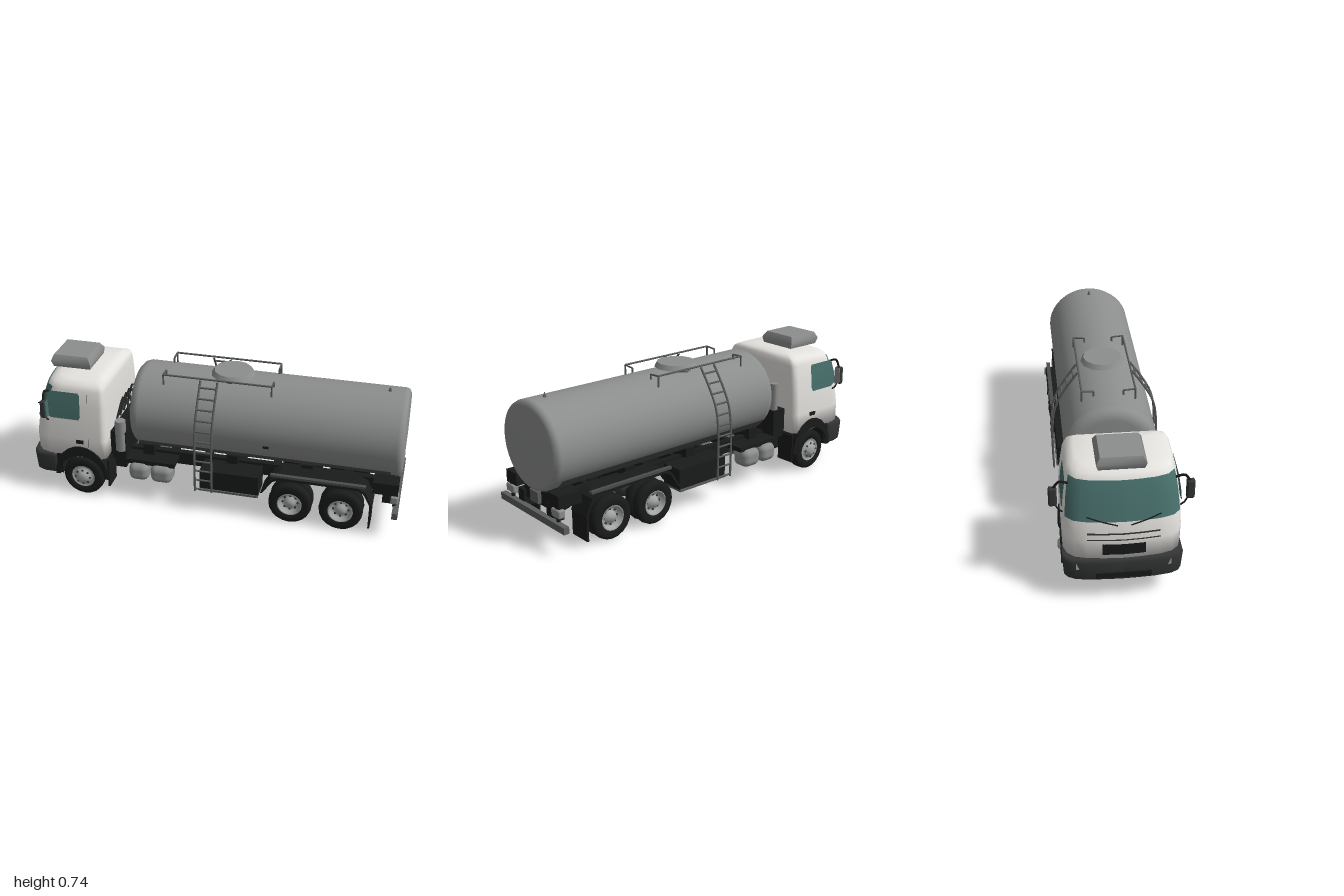
import * as THREE from 'three';
import { RoundedBoxGeometry } from 'three/addons/geometries/RoundedBoxGeometry.js';

const mat = (name, color, side = THREE.FrontSide) => {
  const m = new THREE.MeshStandardMaterial({ color, side });
  m.name = name;
  return m;
};
const V = (x, y, z) => new THREE.Vector3(x, y, z);

export function createModel() {
  const root = new THREE.Group();
  root.name = 'tankerTruck';
  const D = THREE.DoubleSide;
  const white = mat('cabWhite', 0xe6e4e0, D), grey = mat('tankGrey', 0x8c8e8d), shade = mat('tankUnderside', 0x4a4c4b, D);
  const black = mat('black', 0x1a1b1b, D), dark = mat('darkGrey', 0x353737, D), glass = mat('glass', 0x48706c, D);
  const metal = mat('lightMetal', 0xa3a6a4), steel = mat('railSteel', 0x5b5e5d);

  const add = (name, geo, m, x = 0, y = 0, z = 0) => {
    const mesh = new THREE.Mesh(geo, m);
    mesh.name = name;
    mesh.position.set(x, y, z);
    root.add(mesh);
    return mesh;
  };
  // Box given by its extents
  const box = (name, m, x0, x1, y0, y1, z0, z1) =>
    add(name, new THREE.BoxGeometry(x1 - x0, y1 - y0, Math.abs(z1 - z0)), m, (x0 + x1) / 2, (y0 + y1) / 2, (z0 + z1) / 2);
  const rod = (name, m, a, b, r) => {
    const mesh = add(name, new THREE.CylinderGeometry(r, r, a.distanceTo(b), 6), m);
    mesh.position.copy(a).add(b).multiplyScalar(0.5);
    mesh.quaternion.setFromUnitVectors(V(0, 1, 0), b.clone().sub(a).normalize());
    return mesh;
  };
  const tube = (name, m, pts, r) => add(name, new THREE.TubeGeometry(new THREE.CatmullRomCurve3(pts), 16, r, 6), m);
  // Surface through rows of points
  const skin = (rows) => {
    const n = rows[0].length, pos = [], idx = [];
    rows.forEach((row) => row.forEach((p) => pos.push(p.x, p.y, p.z)));
    for (let i = 0; i < rows.length - 1; i++)
      for (let j = 0; j < n - 1; j++) {
        const a = i * n + j;
        idx.push(a, a + 1, a + n, a + 1, a + n + 1, a + n);
      }
    const g = new THREE.BufferGeometry();
    g.setAttribute('position', new THREE.Float32BufferAttribute(pos, 3));
    g.setIndex(idx);
    g.computeVertexNormals();
    return g;
  };
  const lerpTable = (table, t) => {
    let i = 0;
    while (i < table.length - 2 && t > table[i + 1][0]) i++;
    const a = table[i], b = table[i + 1], k = THREE.MathUtils.clamp((t - a[0]) / (b[0] - a[0]), 0, 1);
    return a.map((v, j) => v + (b[j] - v) * k);
  };

  // Cab: height, front x, back x, half width
  const cabRows = [[0.245, -0.985, -0.56, 0.276], [0.35, -0.985, -0.56, 0.278], [0.45, -0.968, -0.558, 0.275], [0.55, -0.938, -0.558, 0.266],
    [0.63, -0.91, -0.56, 0.254], [0.66, -0.89, -0.565, 0.238], [0.677, -0.85, -0.585, 0.205], [0.683, -0.78, -0.63, 0.12]];
  // Front plan curve: side fraction, setback
  const nose = [[0, 0], [0.3, 0.004], [0.6, 0.013], [0.82, 0.03], [0.94, 0.06], [1, 0.11]];
  const ring = ([y, xf, xb, hw]) => {
    const half = nose.map(([v, d]) => V(xf + d * Math.min(1, (xb - xf) / 0.3), y, v * hw));
    half.push(V(xb - 0.03, y, hw), V(xb - 0.008, y, hw * 0.97), V(xb, y, hw * 0.9), V(xb, y, 0));
    const mirror = half.slice(0, -1).reverse().map((p) => V(p.x, y, -p.z));
    return half.concat(mirror);
  };
  const flat = (row) => row.map((p) => V(-0.75, p.y, 0));
  const cabRings = cabRows.map(ring);
  add('cab', skin([flat(cabRings[0]), ...cabRings, flat(cabRings[cabRings.length - 1])]), white);

  // Thin panels following the cab nose
  const nosePanel = (name, m, y0, y1, v0, v1, off = 0.005) => {
    const rows = [];
    for (let i = 0; i <= 6; i++) {
      const [y, xf, , hw] = lerpTable(cabRows, y0 + ((y1 - y0) * i) / 6), row = [];
      for (let j = 0; j <= 16; j++) {
        const v = v0 + ((v1 - v0) * j) / 16, a = Math.abs(v);
        row.push(V(xf + lerpTable(nose, a)[1] - off, y, v * hw + Math.sign(v) * off * a * a));
      }
      rows.push(row);
    }
    add(name, skin(rows), m);
  };
  nosePanel('windshield', glass, 0.45, 0.637, -0.95, 0.95);
  nosePanel('grille', black, 0.275, 0.335, -0.36, 0.36);
  nosePanel('upperGrilleSlot', dark, 0.385, 0.393, -0.6, 0.6);
  nosePanel('lowerGrilleSlot', dark, 0.355, 0.361, -0.6, 0.6);

  // Bumper
  const bumperRings = [[0.115, -0.975, -0.83, 0.255], [0.135, -0.995, -0.83, 0.276], [0.23, -1, -0.83, 0.283], [0.25, -0.988, -0.83, 0.278]].map(ring);
  add('bumper', skin([flat(bumperRings[0]), ...bumperRings, flat(bumperRings[3])]), dark);
  box('bumperIntake', black, -1, -0.99, 0.145, 0.175, -0.13, 0.13);

  // Roof air unit, narrower at the top
  const airGeo = new THREE.BoxGeometry(0.21, 0.065, 0.23, 1, 2, 1), ap = airGeo.attributes.position;
  for (let i = 0; i < ap.count; i++) {
    const y = ap.getY(i), k = y > 0.01 ? 0.84 : y < -0.01 ? 0.92 : 1;
    ap.setXYZ(i, ap.getX(i) * (k + 0.05) - y * 0.1, y, ap.getZ(i) * k);
  }
  airGeo.computeVertexNormals();
  add('roofAirUnit', airGeo, grey, -0.79, 0.715, -0.005);

  // Wheels turned around z; s is the outward side
  const wheel = (x, z, s, front) => {
    const g = new THREE.Group();
    g.name = front ? 'frontWheel' : 'rearWheel';
    const lathe = (name, pts, m) => {
      const mesh = new THREE.Mesh(new THREE.LatheGeometry(pts.map(([r, h]) => new THREE.Vector2(r, h)), 20), m);
      mesh.name = name;
      g.add(mesh);
    };
    const tire = (c, w) => lathe('tire', [[0.05, c - w], [0.098, c - w], [0.112, c - w * 0.7], [0.115, c], [0.112, c + w * 0.7], [0.098, c + w], [0.066, c + w * 0.95], [0.064, c + w * 0.6]], black);
    tire(0, front ? 0.038 : 0.028);
    if (!front) tire(-0.06, 0.028);
    lathe('rim', front ? [[0.066, 0.034], [0.06, 0.036], [0.05, 0.026], [0.045, 0.04], [0.025, 0.05], [0.02, 0.058], [0, 0.058]]
      : [[0.066, 0.026], [0.058, 0.028], [0.05, 0.002], [0.03, 0], [0.026, 0.02], [0, 0.022]], metal);
    for (let i = 0; i < 8; i++) {
      const a = (i * Math.PI) / 4, hole = new THREE.Mesh(new THREE.CylinderGeometry(0.006, 0.006, 0.006, 6), dark);
      hole.name = 'rimHole';
      hole.position.set(Math.cos(a) * 0.04, front ? 0.042 : 0.003, Math.sin(a) * 0.04);
      g.add(hole);
    }
    g.rotation.x = (s * Math.PI) / 2;
    g.position.set(x, 0.118, z);
    root.add(g);
  };

  // Tank
  const tankPts = [[0, -0.45], [0.17, -0.445], [0.2, -0.436], [0.218, -0.42], [0.225, -0.4], [0.225, -0.39], [0.225, 0.95], [0.225, 0.96], [0.219, 0.976], [0.2, 0.986], [0, 0.99]];
  const tankGeo = new THREE.LatheGeometry(tankPts.map(([r, h]) => new THREE.Vector2(r, h)), 40);
  tankGeo.rotateZ(-Math.PI / 2).scale(1, 1, 1.045);
  add('tank', tankGeo, grey, 0, 0.48, 0);
  for (const s of [-1, 1]) {
    const rows = [-0.4, 0.93].map((x) => Array.from({ length: 9 }, (_, i) => {
      const a = 0.62 + (i / 8) * 0.8;
      return V(x, 0.48 - Math.sin(a) * 0.228, s * Math.cos(a) * 0.238);
    }));
    add('tankUnderside', skin(rows), shade);
  }
  // Manhole and tank fittings
  add('manholeCover', new THREE.CylinderGeometry(0.1, 0.115, 0.025, 12), grey, 0.07, 0.717, 0);
  add('manholeNeck', new THREE.CylinderGeometry(0.09, 0.09, 0.03, 12), steel, 0.07, 0.697, 0);
  add('tankVent', new THREE.ConeGeometry(0.012, 0.03, 6), steel, 0.88, 0.715, 0);
  box('tankPlate', black, 0.28, 0.31, 0.413, 0.426, 0.222, 0.231);

  // Chassis, engine and saddles
  for (const s of [-1, 1]) box('chassisRail', black, -0.9, 0.95, 0.18, 0.25, s * 0.08, s * 0.115);
  for (let i = 0; i < 8; i++) box('crossMember', black, -0.45 + i * 0.19, -0.42 + i * 0.19, 0.19, 0.24, -0.1, 0.1);
  box('engine', black, -0.84, -0.5, 0.12, 0.27, -0.13, 0.13);
  box('gearbox', steel, -0.5, -0.3, 0.13, 0.21, -0.06, 0.06);
  for (const x of [-0.36, 0.1, 0.5, 0.9]) box('tankSaddle', black, x - 0.03, x + 0.03, 0.23, 0.295, -0.15, 0.15);
  rod('driveShaft', steel, V(-0.3, 0.16, 0), V(0.7, 0.13, 0), 0.015);
  for (const x of [-0.7, 0.435, 0.7]) {
    rod('axle', black, V(x, 0.118, -0.22), V(x, 0.118, 0.22), 0.022);
    if (x > 0) add('differential', new THREE.SphereGeometry(0.055, 12, 8), dark, x, 0.125, 0);
  }

  // Gear behind the cab
  box('serviceRack', black, -0.555, -0.47, 0.22, 0.38, -0.2, 0.2);
  rod('airFilter', grey, V(-0.5, 0.27, 0.19), V(-0.5, 0.45, 0.19), 0.03);
  rod('exhaust', grey, V(-0.5, 0.25, -0.17), V(-0.5, 0.53, -0.17), 0.022);
  for (let i = 0; i < 4; i++)
    tube('airHose', dark, [V(-0.55, 0.4, -0.07 + i * 0.06), V(-0.5, 0.55, -0.05 + i * 0.05), V(-0.46, 0.38, -0.07 + i * 0.06)], 0.006);

  // Fender outlines
  const outline = (pts) => new THREE.Shape(pts.map(([x, y]) => new THREE.Vector2(x, y)));
  const slab = (name, shape, m, s, z0, z1) =>
    add(name, new THREE.ExtrudeGeometry(shape, { depth: z1 - z0, bevelEnabled: false }), m, 0, 0, s > 0 ? z0 : -z1);
  const arch = [];
  for (let i = 0; i <= 12; i++) arch.push([-0.7 + Math.cos((i / 12) * Math.PI) * 0.15, 0.125 + Math.sin((i / 12) * Math.PI) * 0.185]);
  for (let i = 12; i >= 0; i--) arch.push([-0.7 + Math.cos((i / 12) * Math.PI) * 0.125, 0.125 + Math.sin((i / 12) * Math.PI) * 0.128]);
  const rearFender = outline([[0.28, 0.17], [0.33, 0.255], [0.37, 0.275], [0.78, 0.275], [0.82, 0.255], [0.86, 0.17], [0.85, 0.17], [0.81, 0.245], [0.78, 0.262], [0.37, 0.262], [0.34, 0.245], [0.29, 0.17]]);

  for (const s of [-1, 1]) {
    wheel(-0.7, s * 0.235, s, true);
    for (const x of [0.435, 0.7]) wheel(x, s * 0.243, s, false);
    slab('frontFender', outline(arch), black, s, 0.17, 0.284);
    slab('rearFender', rearFender, black, s, 0.15, 0.275);
    box('fenderRail', shade, 0.33, 0.82, 0.275, 0.287, s * 0.25, s * 0.272);
    box('rearSubframe', black, 0.85, 0.98, 0.23, 0.295, s * 0.14, s * 0.23);
    box('rearMudflap', black, 0.845, 0.855, 0.04, 0.18, s * 0.15, s * 0.272);
    box('frontMudflap', black, -0.555, -0.545, 0.08, 0.24, s * 0.17, s * 0.275);
    box('cabStep', black, -0.84, -0.81, 0.13, 0.25, s * 0.18, s * 0.278);

    // Side window, door seam and handle
    const edge = (x, y) => V(x, y, s * (lerpTable(cabRows, y)[3] + 0.004));
    const rows = [[0.47, -0.85, -0.7], [0.49, -0.885, -0.69], [0.55, -0.88, -0.69], [0.61, -0.865, -0.692], [0.62, -0.85, -0.7]];
    add('sideWindow', skin(rows.map(([y, a, b]) => [edge(a, y), edge(b, y)])), glass);
    add('doorSeam', skin([[edge(-0.653, 0.31), edge(-0.65, 0.31)], [edge(-0.653, 0.62), edge(-0.65, 0.62)]]), steel);
    box('doorHandle', black, -0.72, -0.68, 0.33, 0.35, s * 0.275, s * 0.284);
    box('headlight', metal, -0.985, -0.965, 0.195, 0.23, s * 0.15, s * 0.222);

    // Mirror
    add('mirrorHousing', new RoundedBoxGeometry(0.03, 0.1, 0.04, 2, 0.01), dark, -0.87, 0.54, s * 0.316);
    box('mirrorGlass', s > 0 ? glass : grey, -0.856, -0.852, 0.495, 0.585, s * 0.299, s * 0.333);
    tube('mirrorArm', black, [V(-0.87, 0.61, s * 0.245), V(-0.875, 0.622, s * 0.285), V(-0.87, 0.58, s * 0.316)], 0.006);
    tube('lowerMirrorArm', black, [V(-0.87, 0.45, s * 0.272), V(-0.87, 0.465, s * 0.29), V(-0.87, 0.5, s * 0.308)], 0.004);
    tube('wiper', black, [V(-0.985, 0.44, s * 0.03), V(-0.978, 0.46, s * 0.1), V(-0.968, 0.485, s * 0.17)], 0.003);

    // Fuel and air tanks, tool box
    for (const [x, w] of [[-0.395, 0.11], [-0.27, 0.12]])
      add('fuelTank', new RoundedBoxGeometry(w, 0.1, 0.11, 3, 0.035), grey, x, 0.168, s * 0.195);
    box('tankBracket', black, -0.47, -0.2, 0.21, 0.235, s * 0.11, s * 0.22);
    box('toolBox', black, -0.05, 0.265, 0.135, 0.245, s * 0.13, s * 0.255);
    box('toolBoxSill', steel, -0.05, 0.265, 0.125, 0.137, s * 0.13, s * 0.262);

    // Ladder following the tank side
    const path = new THREE.CatmullRomCurve3([V(0, 0.13, s * 0.275), V(0, 0.3, s * 0.278), V(0, 0.42, s * 0.275), V(0, 0.52, s * 0.258), V(0, 0.61, s * 0.212), V(0, 0.68, s * 0.165), V(0, 0.715, s * 0.14)]);
    for (const x of [-0.07, 0.02]) tube('ladderRail', steel, path.getSpacedPoints(12).map((p) => p.setX(x)), 0.006);
    for (let i = 0; i < 11; i++) {
      const p = path.getPointAt(0.02 + i * 0.092);
      rod('ladderRung', steel, V(-0.07, p.y, p.z), V(0.02, p.y, p.z), 0.005);
    }
    // Top guard rail
    rod('guardRail', steel, V(-0.27, 0.722, s * 0.135), V(0.3, 0.722, s * 0.135), 0.005);
    for (const x of [-0.27, 0.3]) {
      rod('guardRailPost', steel, V(x, 0.722, s * 0.135), V(x, 0.665, s * 0.135), 0.005);
      rod('guardRailEnd', steel, V(x, 0.722, s * 0.135), V(x, 0.718, s * 0.075), 0.005);
      rod('guardRailFoot', steel, V(x, 0.718, s * 0.075), V(x, 0.685, s * 0.075), 0.005);
    }
    // Rear lamps and bumper brackets
    add('rearLamp', new RoundedBoxGeometry(0.04, 0.045, 0.07, 2, 0.01), grey, 0.965, 0.203, s * 0.2);
    add('lampCap', new THREE.ConeGeometry(0.016, 0.045, 8), steel, 0.965, 0.245, s * 0.2);
    rod('lampStem', black, V(0.965, 0.15, s * 0.2), V(0.965, 0.19, s * 0.2), 0.01);
    box('bumperBracket', black, 0.9, 0.965, 0.13, 0.22, s * 0.1, s * 0.15);
  }
  box('rearBumper', steel, 0.96, 0.99, 0.122, 0.157, -0.28, 0.28);
  box('rearCrossBeam', black, 0.92, 0.95, 0.18, 0.26, -0.11, 0.11);
  box('outletValve', steel, 0.92, 0.97, 0.19, 0.25, -0.035, 0.035);
  return root;
}
